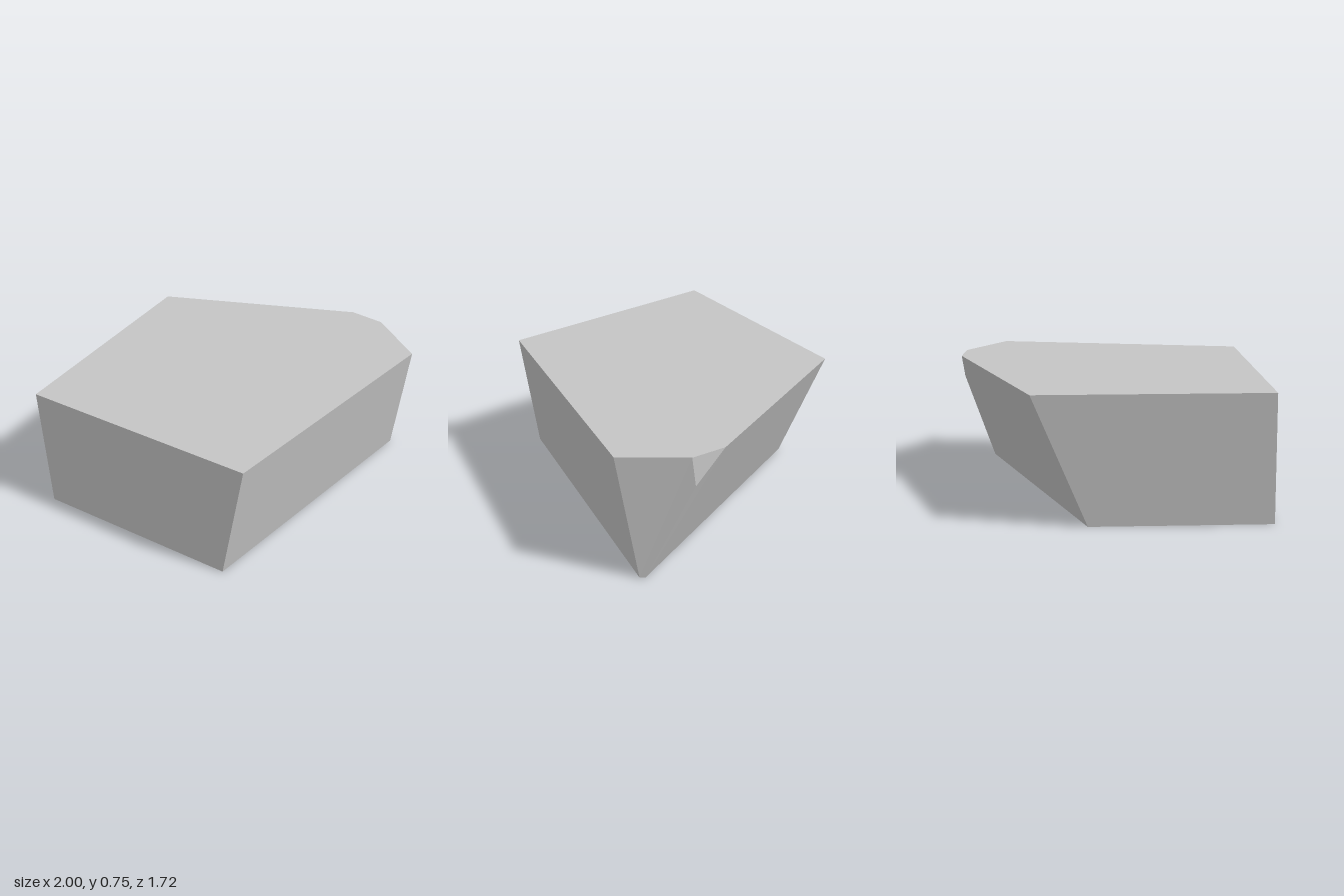
import * as THREE from 'three';

// Faceted stone block: flat top and base, tapering sides, one chipped corner.
export function createModel() {
  const group = new THREE.Group();
  group.name = 'stoneBlock';
  const H = 0.745;

  const p = {
    // top rim, counter-clockwise from above
    tA: [-1, H, 0.49], tB: [0.305, H, 0.86], tC: [1, H, -0.48],
    tD: [0.765, H, -0.79], tE: [0.58, H, -0.862], tF: [-0.615, H, -0.745],
    // lowest point of the chipped corner
    chip: [0.757, 0.58, -0.81],
    // base rim
    bA: [-0.955, 0, 0.525], bB: [0.19, 0, 0.85], bC: [0.925, 0, -0.575],
    bD: [0.907, 0, -0.6], bF: [-0.652, 0, -0.447],
  };

  const faces = [
    ['tA', 'tB', 'tC', 'tD', 'tE', 'tF'],   // top
    ['bA', 'bF', 'bD', 'bC', 'bB'],         // base
    ['bA', 'bB', 'tB', 'tA'],               // front
    ['bB', 'bC', 'tC', 'tB'],               // front left
    ['bC', 'bD', 'chip', 'tD', 'tC'],       // back left
    ['chip', 'tE', 'tD'],                   // chipped corner
    ['bD', 'bF', 'tF', 'tE', 'chip'],       // back
    ['bF', 'bA', 'tA', 'tF'],               // right
  ];

  // Fan each flat face into triangles
  const positions = [];
  for (const f of faces) {
    for (let i = 1; i < f.length - 1; i++) {
      positions.push(...p[f[0]], ...p[f[i]], ...p[f[i + 1]]);
    }
  }
  const geometry = new THREE.BufferGeometry();
  geometry.setAttribute('position', new THREE.Float32BufferAttribute(positions, 3));
  geometry.computeVertexNormals();

  const stone = new THREE.MeshStandardMaterial({ color: 0xc4c4c4 });
  stone.name = 'stone grey';
  const block = new THREE.Mesh(geometry, stone);
  block.name = 'block';
  group.add(block);
  return group;
}
